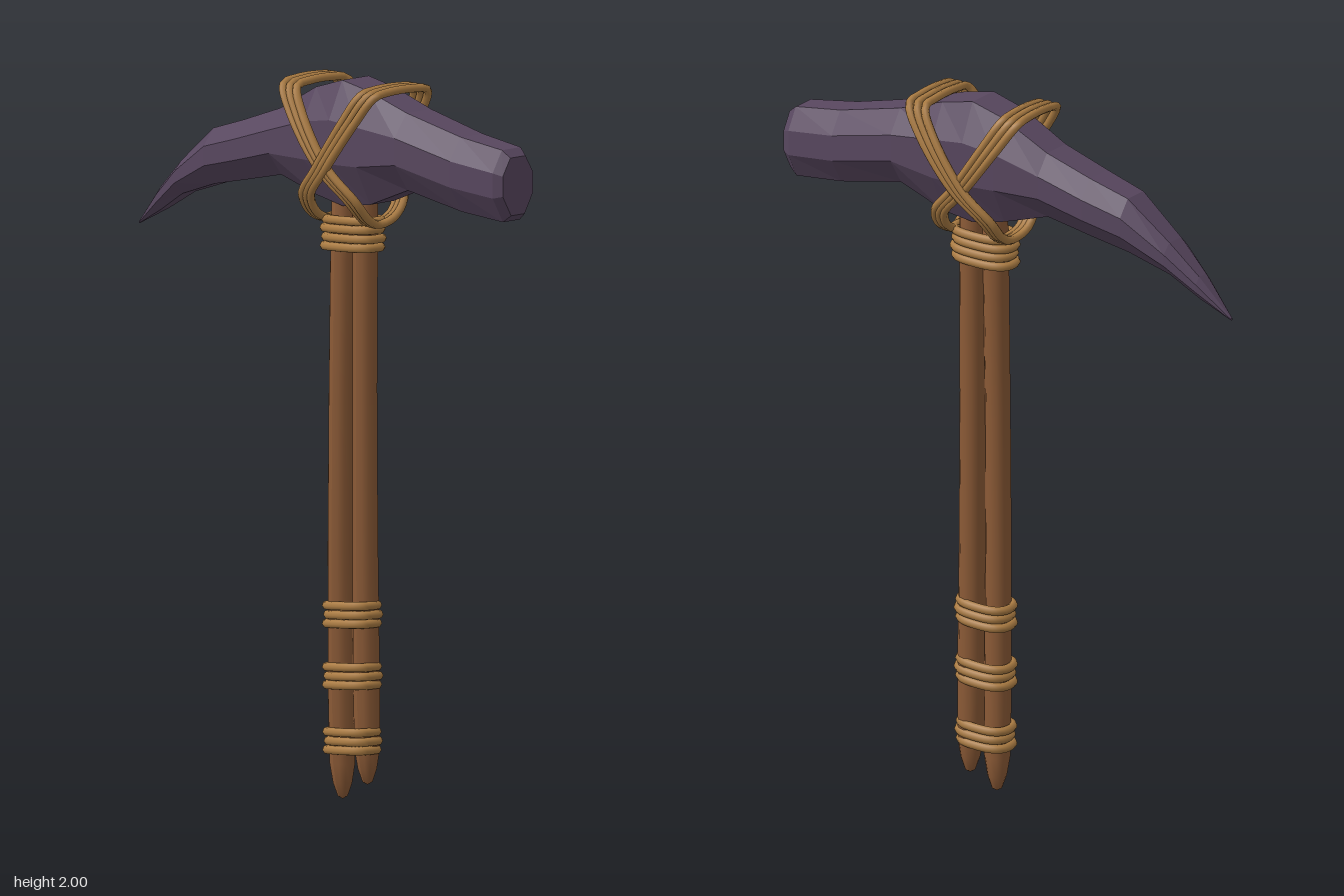
import * as THREE from 'three';

const stone = new THREE.MeshStandardMaterial({ color: 0x58475f, flatShading: true });
stone.name = 'purple stone';
const wood = new THREE.MeshStandardMaterial({ color: 0x8b5a36 });
wood.name = 'brown wood';
const rope = new THREE.MeshStandardMaterial({ color: 0xab7c43 });
rope.name = 'tan rope';

function add(parent, name, geometry, material) {
  const mesh = new THREE.Mesh(geometry, material);
  mesh.name = name;
  parent.add(mesh);
  return mesh;
}

// Octagonal sections [x, top, bottom, half depth] joined from the pick tip to the hammer face
function headGeometry() {
  const stations = [
    [-0.715, 1.513, 1.507, 0.004], [-0.62, 1.62, 1.557, 0.035], [-0.53, 1.705, 1.612, 0.058],
    [-0.4, 1.81, 1.655, 0.078], [-0.28, 1.847, 1.68, 0.088], [-0.14, 1.895, 1.71, 0.093],
    [0, 1.97, 1.67, 0.102], [0.1, 2, 1.65, 0.105], [0.2, 1.98, 1.665, 0.103],
    [0.34, 1.935, 1.72, 0.097], [0.54, 1.89, 1.683, 0.087], [0.69, 1.87, 1.67, 0.074],
    [0.715, 1.85, 1.69, 0.06],
  ];
  // Fractions of half depth and height, from front top round to back top
  const ring = [[0.5, 1], [1, 0.7], [1, 0.35], [0.45, 0], [-0.45, 0], [-1, 0.35], [-1, 0.7], [-0.5, 1]];
  const n = ring.length;
  const pos = [], index = [];
  for (const [x, top, bottom, w] of stations)
    for (const [fz, fy] of ring) pos.push(x, bottom + (top - bottom) * fy, fz * w - 0.006);
  for (let i = 0; i < stations.length - 1; i++)
    for (let j = 0; j < n; j++) {
      const a = i * n + j, b = i * n + (j + 1) % n;
      index.push(a, b, b + n, a, b + n, a + n);
    }
  const last = (stations.length - 1) * n;
  for (let j = 1; j < n - 1; j++) {
    index.push(last, last + j, last + j + 1);
    index.push(0, j + 1, j);
  }
  const g = new THREE.BufferGeometry();
  g.setAttribute('position', new THREE.Float32BufferAttribute(pos, 3));
  g.setIndex(index);
  g.computeVertexNormals();
  return g;
}

// Slim pole with a blunt pointed foot, leaning and bowing slightly
function poleGeometry(foot, x0, x1, z0, z1, bow) {
  const profile = [[0, 0], [0.014, 0.008], [0.027, 0.045], [0.036, 0.1], [0.038, 0.3],
    [0.036, 0.7], [0.035, 1.1], [0.036, 1.5], [0.035, 1.72 - foot], [0, 1.72 - foot]];
  const g = new THREE.LatheGeometry(profile.map(([r, y]) => new THREE.Vector2(r, y + foot)), 12);
  const p = g.attributes.position;
  for (let i = 0; i < p.count; i++) {
    const t = p.getY(i) / 1.7;
    p.setX(i, p.getX(i) + x0 + (x1 - x0) * t);
    p.setZ(i, p.getZ(i) + z0 + (z1 - z0) * t + bow * Math.sin(Math.PI * t));
  }
  g.computeVertexNormals();
  return g;
}

function ropeLoop(points, segments, radius = 0.0125) {
  const curve = new THREE.CatmullRomCurve3(points, true);
  return new THREE.TubeGeometry(curve, segments, radius, 7, true);
}

// Flattened ring wound around both poles
function bandGeometry(y, cx, hx, hz, tilt) {
  const points = [];
  for (let i = 0; i < 16; i++) {
    const a = i / 16 * Math.PI * 2;
    const c = Math.cos(a), s = Math.sin(a);
    const x = Math.sign(c) * Math.abs(c) ** 0.75 * hx;
    points.push(new THREE.Vector3(cx + x, y + tilt * (x / hx + 0.4 * s), Math.sign(s) * Math.abs(s) ** 0.75 * hz));
  }
  return ropeLoop(points, 40);
}

// Slanted loop over the head and down beside the poles; side mirrors it about the handle axis
function lashingGeometry(side, k) {
  const cx = 0.1, lift = side * 0.004;
  // [offset toward the top side, y, z, strand spread]
  const path = [
    [0.15, 1.985, 0.05, 1], [0.148, 1.975, 0.1, 1], [0.1, 1.9, 0.124, 0.9], [0.0, 1.765, 0.128, 0.7],
    [-0.08, 1.68, 0.1, 0.6], [-0.092, 1.625, 0.055, 0.5], [-0.085, 1.605, 0, 0.5],
    [-0.092, 1.625, -0.06, 0.5], [-0.08, 1.68, -0.105, 0.6], [0.0, 1.765, -0.132, 0.7],
    [0.1, 1.9, -0.13, 0.9], [0.148, 1.975, -0.105, 1], [0.15, 1.985, -0.05, 1],
  ];
  const points = path.map(([u, y, z, spread]) =>
    new THREE.Vector3(cx + side * (u + k * 0.026 * spread), y, z + Math.sign(z) * lift));
  return ropeLoop(points, 72, 0.012);
}

export function createModel() {
  const model = new THREE.Group();
  model.name = 'pickaxe';
  add(model, 'stoneHead', headGeometry(), stone);

  // Handle made of two poles
  const handle = new THREE.Group();
  handle.name = 'handle';
  model.add(handle);
  add(handle, 'leftPole', poleGeometry(0.045, 0.135, 0.132, -0.018, -0.012, 0.006), wood);
  add(handle, 'rightPole', poleGeometry(0, 0.06, 0.068, 0.002, 0.004, 0.012), wood);

  // Bindings: [name, centre y, strands, centre x, half width, tilt]
  const bindings = [
    ['lowerBinding', 0.165, 3, 0.095, 0.074, 0.005], ['middleBinding', 0.345, 3, 0.095, 0.076, 0.006],
    ['upperBinding', 0.515, 3, 0.095, 0.076, 0.006], ['neckBinding', 1.572, 4, 0.097, 0.088, 0.004],
  ];
  for (const [name, y, count, cx, hx, tilt] of bindings) {
    const group = new THREE.Group();
    group.name = name;
    model.add(group);
    for (let i = 0; i < count; i++) {
      const wobble = i % 2 ? 0.003 : -0.002;
      add(group, 'ropeStrand', bandGeometry(y + (i - (count - 1) / 2) * 0.025, cx + wobble, hx, 0.05, tilt), rope);
    }
  }

  // Crossed lashings holding the head
  for (const side of [-1, 1]) {
    const group = new THREE.Group();
    group.name = side < 0 ? 'rightLashing' : 'leftLashing';
    model.add(group);
    for (const k of [-1, 0, 1]) add(group, 'ropeStrand', lashingGeometry(side, k), rope);
  }
  return model;
}
